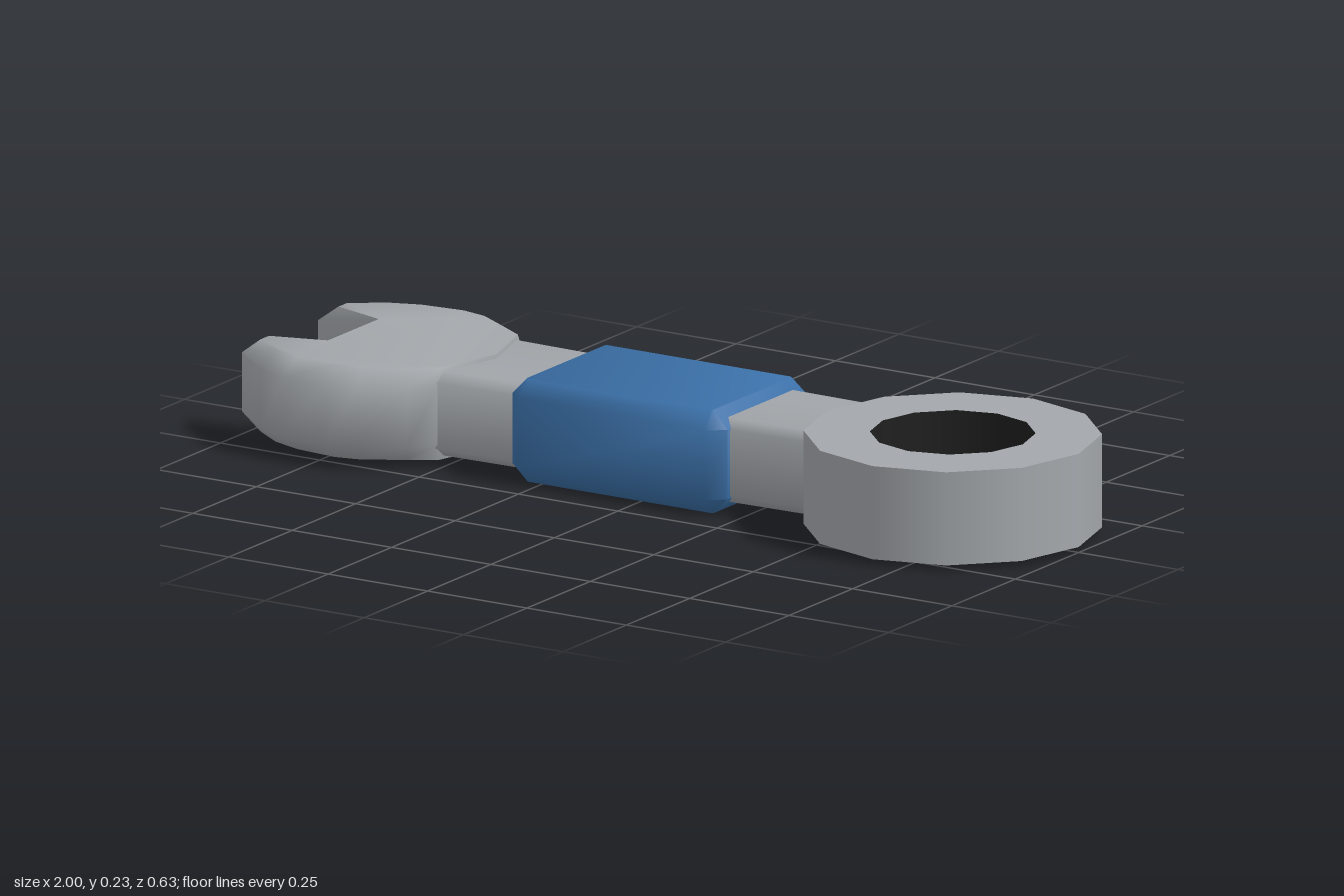
import * as THREE from 'three';
import { toCreasedNormals } from 'three/addons/utils/BufferGeometryUtils.js';

const steel = new THREE.MeshStandardMaterial({ color: 0xa3a7ab });
const blue = new THREE.MeshStandardMaterial({ color: 0x3b70a8 });
const dark = new THREE.MeshStandardMaterial({ color: 0x1f1f1f, side: THREE.DoubleSide });

// Bevelled plate. Each half-outline row is [x, z, insetX, insetZ] from the -x end
// to the +x end on the -z side; the +z side is mirrored.
function bevelledPlate(half, [y0, y1, y2, y3]) {
  const mirrored = half.filter((p) => p[1] !== 0).reverse().map(([x, z, u, w]) => [x, -z, u, -w]);
  const outline = [...half, ...mirrored];
  const n = outline.length;
  const positions = [];
  const index = [];
  [[y0, 2], [y1, 0], [y2, 0], [y3, 2]].forEach(([y, k]) => {
    outline.forEach((p) => positions.push(p[k], y, p[k + 1]));
  });
  // Side bands
  for (let layer = 0; layer < 3; layer++) {
    for (let i = 0; i < n; i++) {
      const a = layer * n + i;
      const b = layer * n + ((i + 1) % n);
      index.push(a, a + n, b, b, a + n, b + n);
    }
  }
  // Top and bottom faces
  const flat = outline.map((p) => new THREE.Vector2(p[2], -p[3]));
  THREE.ShapeUtils.triangulateShape(flat, []).forEach(([a, b, c]) => {
    if (THREE.ShapeUtils.area([flat[a], flat[b], flat[c]]) < 0) [b, c] = [c, b];
    index.push(a + 3 * n, b + 3 * n, c + 3 * n, a, c, b);
  });
  const geometry = new THREE.BufferGeometry();
  geometry.setAttribute('position', new THREE.Float32BufferAttribute(positions, 3));
  geometry.setIndex(index);
  return toCreasedNormals(geometry, 1.0);
}

function addMesh(parent, name, geometry, material) {
  const mesh = new THREE.Mesh(geometry, material);
  mesh.name = name;
  parent.add(mesh);
  return mesh;
}

export function createModel() {
  const model = new THREE.Group();
  model.name = 'wrench';

  // Tapered shaft
  addMesh(model, 'shaft', bevelledPlate([
    [-0.55, -0.168, -0.55, -0.146],
    [0.45, -0.143, 0.45, -0.121],
  ], [0.022, 0.042, 0.187, 0.208]), steel);

  // Chamfered hand grip
  addMesh(model, 'grip', bevelledPlate([
    [-0.323, -0.16, -0.29, -0.153],
    [-0.29, -0.19, -0.286, -0.157],
    [0.18, -0.19, 0.176, -0.157],
    [0.218, -0.16, 0.18, -0.153],
  ], [0, 0.037, 0.19, 0.227]), blue);

  // Open-ended jaw
  addMesh(model, 'openJaw', bevelledPlate([
    [-0.825, -0.10, -0.825, -0.10],
    [-1, -0.135, -0.95, -0.137],
    [-1, -0.165, -0.95, -0.17],
    [-0.89, -0.26, -0.88, -0.22],
    [-0.82, -0.29, -0.81, -0.245],
    [-0.71, -0.30, -0.71, -0.255],
    [-0.64, -0.285, -0.65, -0.242],
    [-0.55, -0.22, -0.565, -0.19],
    [-0.505, -0.165, -0.51, -0.155],
    [-0.46, 0, -0.465, 0],
  ], [0.014, 0.05, 0.18, 0.217]), steel);

  // Twelve-sided ring end
  const ring = new THREE.Group();
  ring.name = 'ringEnd';
  ring.position.set(0.683, 0.1145, 0);
  model.add(ring);
  const outer = 0.317, inner = 0.176, height = 0.205;
  addMesh(ring, 'ringOuterWall', new THREE.CylinderGeometry(outer, outer, height, 12, 1, true), steel);
  addMesh(ring, 'ringHoleWall', new THREE.CylinderGeometry(inner, inner, height, 12, 1, true), dark);
  for (const side of [1, -1]) {
    const face = addMesh(ring, side > 0 ? 'ringTopFace' : 'ringBottomFace',
      new THREE.RingGeometry(inner, outer, 12, 1), steel);
    face.rotation.x = -side * Math.PI / 2;
    face.position.y = side * height / 2;
  }
  return model;
}
